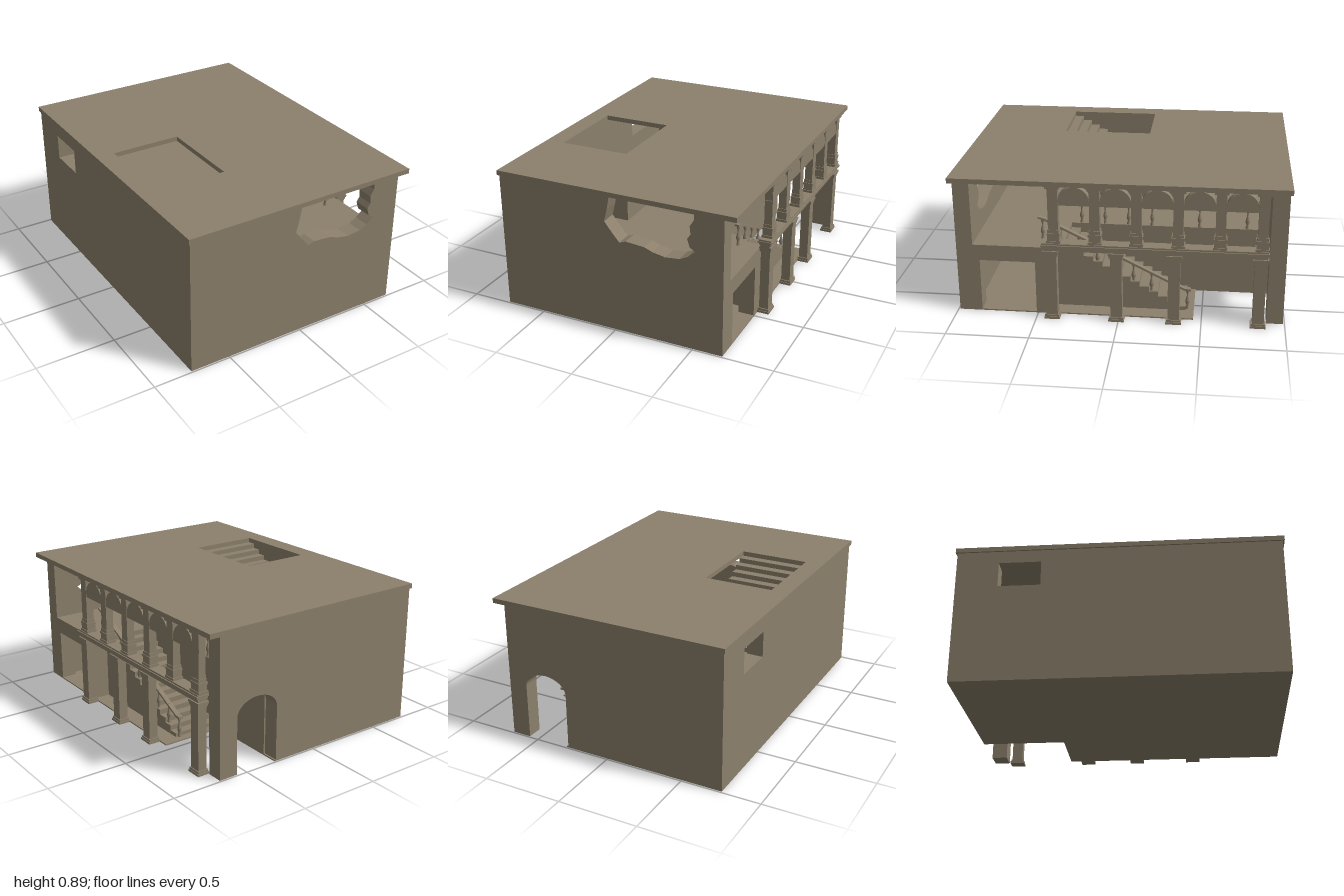
import * as THREE from 'three';

const stone = new THREE.MeshStandardMaterial({ color: 0x8c806c });
stone.name = 'sandstone';

export function createModel() {
  const model = new THREE.Group();
  model.name = 'courtyardHouse';

  const add = (name, geometry) => {
    const mesh = new THREE.Mesh(geometry, stone);
    mesh.name = name;
    model.add(mesh);
    return mesh;
  };
  const box = (name, x0, x1, y0, y1, z0, z1) => {
    const g = new THREE.BoxGeometry(x1 - x0, y1 - y0, z1 - z0);
    g.translate((x0 + x1) / 2, (y0 + y1) / 2, (z0 + z1) / 2);
    return add(name, g);
  };
  const shapeOf = (pts) => new THREE.Shape(pts.map((p) => new THREE.Vector2(p[0], p[1])));
  const rect = (a, b, c, d) => shapeOf([[a, c], [b, c], [b, d], [a, d]]);
  // Slab whose outline lies in x and y
  const slabZ = (name, shape, z0, z1) => {
    const g = new THREE.ExtrudeGeometry(shape, { depth: z1 - z0, bevelEnabled: false, curveSegments: 14 });
    return add(name, g.translate(0, 0, z0));
  };
  // Slab whose outline is given as (-z, y)
  const slabX = (name, shape, x0, x1) => {
    const g = new THREE.ExtrudeGeometry(shape, { depth: x1 - x0, bevelEnabled: false, curveSegments: 14 });
    return add(name, g.rotateY(Math.PI / 2).translate(x0, 0, 0));
  };
  // Slab whose outline is given as (x, -z)
  const slabY = (name, shape, y0, y1) => {
    const g = new THREE.ExtrudeGeometry(shape, { depth: y1 - y0, bevelEnabled: false });
    return add(name, g.rotateX(-Math.PI / 2).translate(0, y0, 0));
  };

  // Roof with stair hatch
  const roof = rect(-0.765, 0.76, -1, 1);
  roof.holes.push(rect(-0.645, -0.2, -0.45, 0.11));
  slabY('roof', roof, 0.86, 0.89);

  // Ground floor, open at the entrance corner
  slabY('groundFloor', shapeOf([[-0.755, -0.99], [0.685, -0.99], [0.685, 0.45], [0.29, 0.45],
    [0.29, 0.99], [-0.755, 0.99]]), 0, 0.008);

  // Upper floor, open above the lower stairs
  slabY('upperFloor', shapeOf([[-0.7, -0.94], [0.68, -0.94], [0.68, -0.4], [0.29, -0.4],
    [0.29, 0.94], [-0.7, 0.94]]), 0.4, 0.44);

  // Front wall with a broken breach below the roof
  slabZ('frontWall', shapeOf([[-0.755, 0], [0.685, 0], [0.685, 0.86], [0.505, 0.86], [0.505, 0.82],
    [0.48, 0.78], [0.485, 0.73], [0.465, 0.7], [0.48, 0.65], [0.515, 0.63], [0.47, 0.59], [0.42, 0.565],
    [0.33, 0.555], [0.25, 0.57], [0.2, 0.59], [0.08, 0.6], [0.04, 0.585], [0, 0.63],
    [-0.055, 0.7], [-0.035, 0.78], [-0.02, 0.86], [-0.755, 0.86]]), 0.89, 0.99);

  // Back wall with arched entrance
  const back = new THREE.Shape();
  back.moveTo(-0.755, 0);
  back.lineTo(0.28, 0);
  back.lineTo(0.28, 0.35);
  back.absellipse(0.4225, 0.35, 0.1425, 0.1, Math.PI, 0, true);
  back.lineTo(0.565, 0);
  back.lineTo(0.685, 0);
  back.lineTo(0.685, 0.86);
  back.lineTo(-0.755, 0.86);
  slabZ('backWall', back, -0.99, -0.89);

  // Closed side wall with window
  const side = rect(-0.89, 0.89, 0, 0.86);
  side.holes.push(rect(0.47, 0.73, 0.62, 0.78));
  slabX('windowWall', side, -0.755, -0.655);

  // Low wall with doorway, and the walls around the stairs
  slabX('doorWall', shapeOf([[-0.89, 0], [-0.85, 0], [-0.85, 0.34], [-0.51, 0.34], [-0.51, 0],
    [-0.4, 0], [-0.4, 0.44], [-0.89, 0.44]]), 0.585, 0.685);
  box('stairBackWall', 0.25, 0.29, 0, 0.42, -0.89, 0.42);
  box('stairEndWall', 0.27, 0.6, 0, 0.42, 0.4, 0.44);

  // Stairs climb towards the front
  const stairs = (name, x0, x1, z0, z1, y0, y1, count) => {
    const pts = [[-z1, y0], [-z0, y0]];
    for (let i = 0; i < count; i++) {
      const y = y0 + ((y1 - y0) * (i + 1)) / count;
      pts.push([-(z0 + ((z1 - z0) * i) / count), y], [-(z0 + ((z1 - z0) * (i + 1)) / count), y]);
    }
    slabX(name, shapeOf(pts), x0, x1);
  };
  stairs('lowerStairs', 0.29, 0.58, -0.4, 0.4, 0, 0.44, 14);
  stairs('upperStairs', -0.645, -0.2, -0.335, 0.45, 0.44, 0.86, 14);

  // Turned balusters
  const profile = [[0.011, 0], [0.011, 0.012], [0.006, 0.02], [0.014, 0.045], [0.012, 0.06],
    [0.005, 0.085], [0.005, 0.1], [0.01, 0.112], [0.01, 0.13]];
  const balusterGeometry = new THREE.LatheGeometry(profile.map((p) => new THREE.Vector2(p[0], p[1])), 10);
  const baluster = (x, y, z) => add('baluster', balusterGeometry).position.set(x, y, z);

  // Stair handrail
  slabX('stairHandrail', shapeOf([[0.43, 0.135], [0.43, 0.148], [0.39, 0.152], [-0.46, 0.58],
    [-0.505, 0.592], [-0.505, 0.58], [-0.46, 0.565], [0.39, 0.137]].reverse()), 0.545, 0.575);
  for (let i = 0; i < 9; i++) {
    const z = -0.41 + i * 0.111;
    baluster(0.56, 0.145 + (z + 0.41) * 0.49 - 0.133, z);
  }

  // Gallery railing beside the stairwell
  box('galleryHandrail', 0.26, 0.29, 0.57, 0.585, -0.89, 0.4);
  for (let i = 0; i < 8; i++) baluster(0.275, 0.44, 0.28 - i * 0.149);

  // Square column made of stacked blocks: [half width, bottom, top]
  const column = (name, z, blocks) => blocks.forEach(([h, y0, y1]) =>
    box(name, 0.72 - h * 0.82, 0.72 + h * 0.82, y0, y1, z - h, z + h));
  [0.403, 0.012, -0.333, -0.838].forEach((z) => column('lowerColumn', z, [
    [0.047, 0, 0.014], [0.042, 0.014, 0.028], [0.035, 0.028, 0.41], [0.038, 0.41, 0.42],
    [0.042, 0.42, 0.435], [0.047, 0.435, 0.45]]));

  // Stepped ledge between the storeys
  [[0.69, 0.75, 0.45, 0.465, 0.01], [0.685, 0.755, 0.465, 0.48, 0.005],
    [0.675, 0.765, 0.48, 0.49, 0], [0.68, 0.758, 0.49, 0.5, 0.005]].forEach(([x0, x1, y0, y1, d]) =>
    box('ledge', x0, x1, y0, y1, -0.885 + d, 0.46 - d));

  // Upper arcade: columns on pedestals with round arches between
  const arcade = rect(-0.415, 0.875, 0.74, 0.86);
  for (let i = 0; i < 6; i++) {
    const z = 0.382 - i * 0.245;
    column('upperColumn', z, [[0.041, 0.5, 0.515], [0.036, 0.515, 0.55], [0.039, 0.55, 0.565],
      [0.034, 0.565, 0.585], [0.03, 0.585, 0.845], [0.042, 0.845, 0.86]]);
  }
  const pts = [[-0.412, 0.765], [-0.412, 0.86], [0.873, 0.86], [0.873, 0.765]];
  for (let i = 4; i >= 0; i--) {
    const u = -0.382 + (i + 0.5) * 0.245;
    for (let k = 0; k <= 14; k++) {
      const a = (Math.PI * k) / 14;
      pts.push([u + Math.cos(a) * 0.093, 0.765 + Math.sin(a) * 0.09]);
    }
  }
  arcade.setFromPoints(pts.map((p) => new THREE.Vector2(p[0], p[1])));
  slabX('arches', arcade, 0.698, 0.742);

  return model;
}
